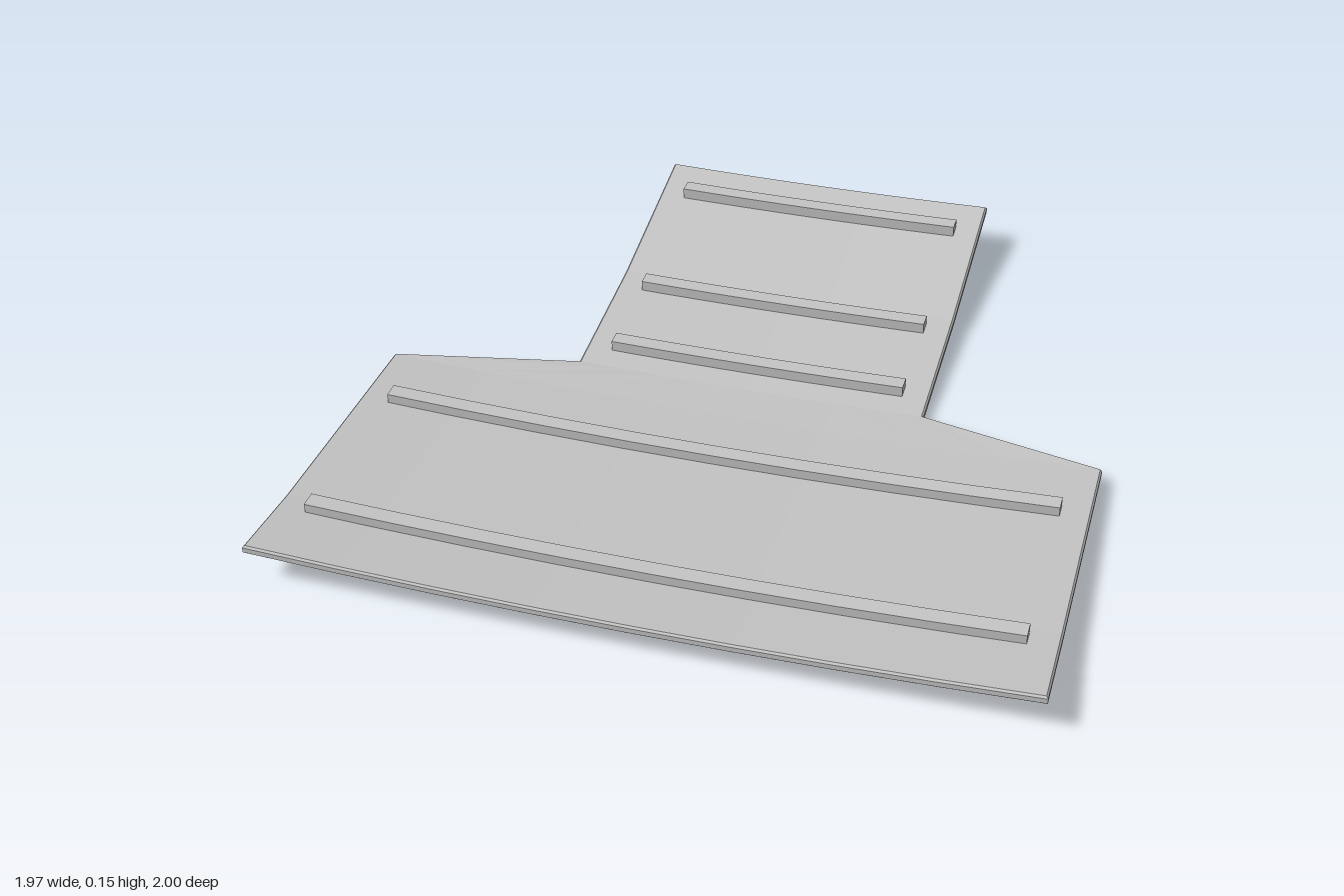
import * as THREE from 'three';

const THICK = 0.024;
const BEVEL = 0.005;
// Stations from back to front: z, half width, underside height on the centre line
const STATIONS = [
  [-1, 0.488, 0.115],
  [-0.5, 0.488, 0.034],
  [-0.07, 0.488, 0.002],
  [0.06, 0.985, 0.004],
  [0.75, 0.985, 0.041],
  [0.997, 0.985, 0.069],
];

// Sideways upsweep of the sheet
const camber = (x) => 0.026 * (x / 0.985) ** 2;

// Underside height on the centre line at any z
function centreHeight(z) {
  let i = 1;
  while (i < STATIONS.length - 1 && z > STATIONS[i][0]) i++;
  const [z0, , y0] = STATIONS[i - 1];
  const [z1, , y1] = STATIONS[i];
  return THREE.MathUtils.lerp(y0, y1, (z - z0) / (z1 - z0));
}

// Moves every vertex of a geometry by a rule
function bend(geometry, rule) {
  const p = geometry.attributes.position;
  for (let i = 0; i < p.count; i++) {
    p.setXYZ(i, ...rule(p.getX(i), p.getY(i), p.getZ(i)));
  }
  geometry.computeVertexNormals();
  return geometry;
}

export function createModel() {
  const group = new THREE.Group();
  const grey = new THREE.MeshStandardMaterial({ color: 0xc5c5c5, flatShading: true });
  grey.name = 'lightGrey';

  const add = (name, geometry) => {
    const mesh = new THREE.Mesh(geometry, grey);
    mesh.name = name;
    group.add(mesh);
  };

  // Curved T-shaped sheet, wide at the front and narrow at the back, with a small edge bevel
  const spans = STATIONS.length - 1;
  add('curvedPanel', bend(new THREE.BoxGeometry(2, 3, spans, 8, 3, spans), (u, v, w) => {
    const [z, halfWidth, y] = STATIONS[Math.round(w + spans / 2)];
    const face = Math.abs(v) > 1;
    const inset = face ? BEVEL : 0;
    const x = u * (halfWidth - inset);
    const level = Math.sign(v) * (THICK / 2 - (face ? 0 : BEVEL));
    const end = Math.abs(w) > spans / 2 - 0.1 ? Math.sign(w) : 0;
    return [x, y + camber(x) + THICK / 2 + level, z - end * inset];
  }));

  // Raised cross ribs that follow the sheet: z, half length
  const ribs = [[-0.872, 0.415], [-0.445, 0.415], [-0.162, 0.415], [0.266, 0.907], [0.787, 0.907]];
  ribs.forEach(([z, halfLength], i) => {
    const base = centreHeight(z) + THICK - 0.006;
    add(`crossRib${i + 1}`, bend(new THREE.BoxGeometry(2, 1, 0.044, 8, 1, 1), (u, v, w) => {
      const x = u * halfLength;
      return [x, base + camber(x) + (v + 0.5) * 0.034, z + w];
    }));
  });

  return group;
}
